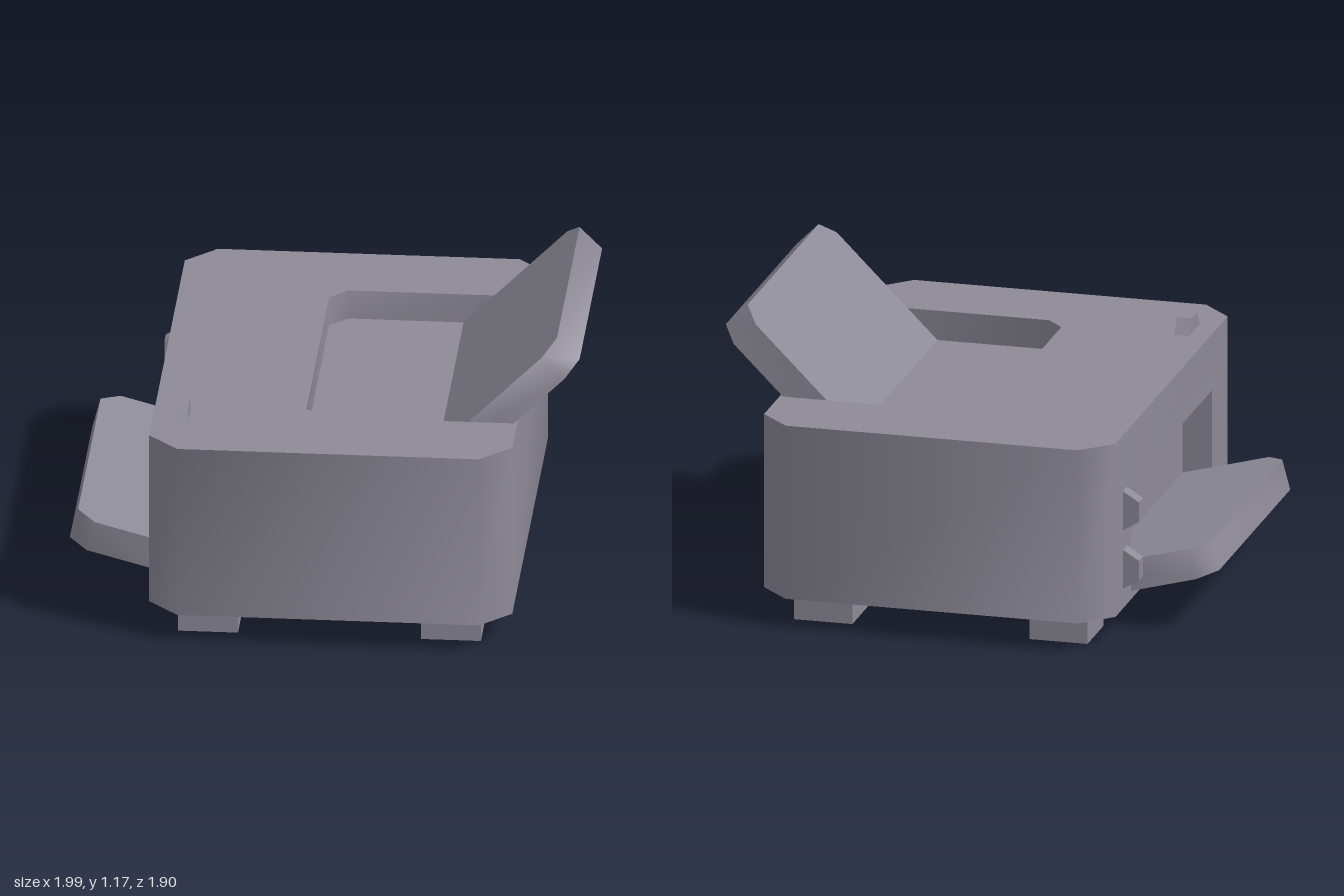
import * as THREE from 'three';
import { mergeGeometries, toCreasedNormals } from 'three/addons/utils/BufferGeometryUtils.js';

const grey = new THREE.MeshStandardMaterial({ color: 0x8e8b98 });
grey.name = 'warm grey';
const CREASE = 0.9; // 45 degree bevels shade smoothly, right angles stay sharp

const shapeOf = (pts) => new THREE.Shape(pts.map(([a, b]) => new THREE.Vector2(a, b)));

function mesh(name, geometry) {
  const m = new THREE.Mesh(geometry, grey);
  m.name = name;
  return m;
}

// Flat quad through four corners, counter-clockwise from its front
function quad(a, b, c, d) {
  const g = new THREE.BufferGeometry();
  g.setAttribute('position', new THREE.Float32BufferAttribute([a, b, c, a, c, d].flat(), 3));
  return g;
}

// Flat face with an optional hole, reduced to plain positions
function face(outline, hole) {
  const s = shapeOf(outline);
  if (hole) s.holes.push(shapeOf(hole));
  const g = new THREE.ShapeGeometry(s).toNonIndexed();
  g.deleteAttribute('uv');
  g.deleteAttribute('normal');
  return g;
}

function createBody() {
  const x0 = -0.66, x1 = 0.76, z1 = 0.95, c = 0.12, y0 = 0.12, y1 = 0.83;
  // Plan outline as (x, -z), counter-clockwise from above
  const plan = [
    [x0, -z1 + c], [x0 + c, -z1], [x1 - c, -z1], [x1, -z1 + c],
    [x1, z1 - c], [x1 - c, z1], [x0 + c, z1], [x0, z1 - c],
  ];
  const pit = [[-0.07, -0.53], [0, -0.6], [0.68, -0.6], [0.68, 0.6], [0, 0.6], [-0.07, 0.53]];
  const pitY = 0.71;
  const parts = [
    face(plan, pit).rotateX(-Math.PI / 2).translate(0, y1, 0),
    face(pit).rotateX(-Math.PI / 2).translate(0, pitY, 0),
    face(plan.map(([x, z]) => [x, -z])).rotateX(Math.PI / 2).translate(0, y0, 0),
  ];
  // Outer walls, apart from the slotted one
  for (let i = 0; i < 7; i++) {
    const [ax, az] = plan[i], [bx, bz] = plan[i + 1];
    parts.push(quad([ax, y0, -az], [bx, y0, -bz], [bx, y1, -bz], [ax, y1, -az]));
  }
  // Walls of the top recess
  pit.forEach(([ax, az], i) => {
    const [bx, bz] = pit[(i + 1) % pit.length];
    parts.push(quad([bx, pitY, -bz], [ax, pitY, -az], [ax, y1, -az], [bx, y1, -bz]));
  });
  // Slotted wall and the pocket behind it, as (z, y)
  const w = z1 - c;
  const slot = [[-0.6, 0.2], [0.6, 0.2], [0.6, 0.6], [-0.6, 0.6]];
  const back = x0 + 0.12;
  parts.push(face([[-w, y0], [w, y0], [w, y1], [-w, y1]], slot).rotateY(-Math.PI / 2).translate(x0, 0, 0));
  parts.push(face(slot).rotateY(-Math.PI / 2).translate(back, 0, 0));
  slot.forEach(([az, ay], i) => {
    const [bz, by] = slot[(i + 1) % 4];
    parts.push(quad([x0, ay, az], [x0, by, bz], [back, by, bz], [back, ay, az]));
  });
  return mesh('body', toCreasedNormals(mergeGeometries(parts), CREASE));
}

// Panel with two clipped outer corners, running along +x and hanging down by its thickness
function flap(name, length) {
  const w = 0.6, c = 0.075;
  const s = shapeOf([[0, -w], [length - c, -w], [length, -w + c], [length, w - c], [length - c, w], [0, w]]);
  const g = new THREE.ExtrudeGeometry(s, { depth: 0.125, bevelEnabled: false }).rotateX(Math.PI / 2);
  return mesh(name, toCreasedNormals(g, CREASE));
}

// Small tapered knob standing on y = 0, its long side along x
function knob(name, height) {
  const s = shapeOf([[-0.08, 0], [0.08, 0], [0.04, height], [-0.04, height]]);
  const g = new THREE.ExtrudeGeometry(s, { depth: 0.06, bevelEnabled: false }).translate(0, 0, -0.03);
  return mesh(name, g);
}

export function createModel() {
  const model = new THREE.Group();
  model.name = 'printer';
  model.add(createBody());

  // Sloping paper support in the top recess
  const support = flap('paperSupport', 0.65);
  support.geometry.rotateZ(Math.PI / 4);
  support.position.set(0.45, 0.71, 0);
  model.add(support);

  // Output tray rising out of the slot
  const tray = flap('outputTray', 0.48);
  tray.geometry.rotateY(Math.PI).rotateZ(-Math.PI / 12);
  tray.position.set(-0.5, 0.241, 0);
  model.add(tray);

  // Knob on top
  const topKnob = knob('topKnob', 0.06);
  topKnob.geometry.rotateY(Math.PI / 2);
  topKnob.position.set(-0.55, 0.83, 0.63);
  model.add(topKnob);

  // Two buttons beside the slot
  for (const y of [0.52, 0.28]) {
    const button = knob('button', 0.065);
    button.geometry.rotateZ(Math.PI / 2);
    button.position.set(-0.66, y, -0.69);
    model.add(button);
  }

  // Feet
  for (const x of [-0.43, 0.52]) {
    for (const z of [-0.715, 0.715]) {
      const foot = mesh('foot', new THREE.BoxGeometry(0.235, 0.12, 0.235));
      foot.position.set(x, 0.06, z);
      model.add(foot);
    }
  }
  return model;
}
